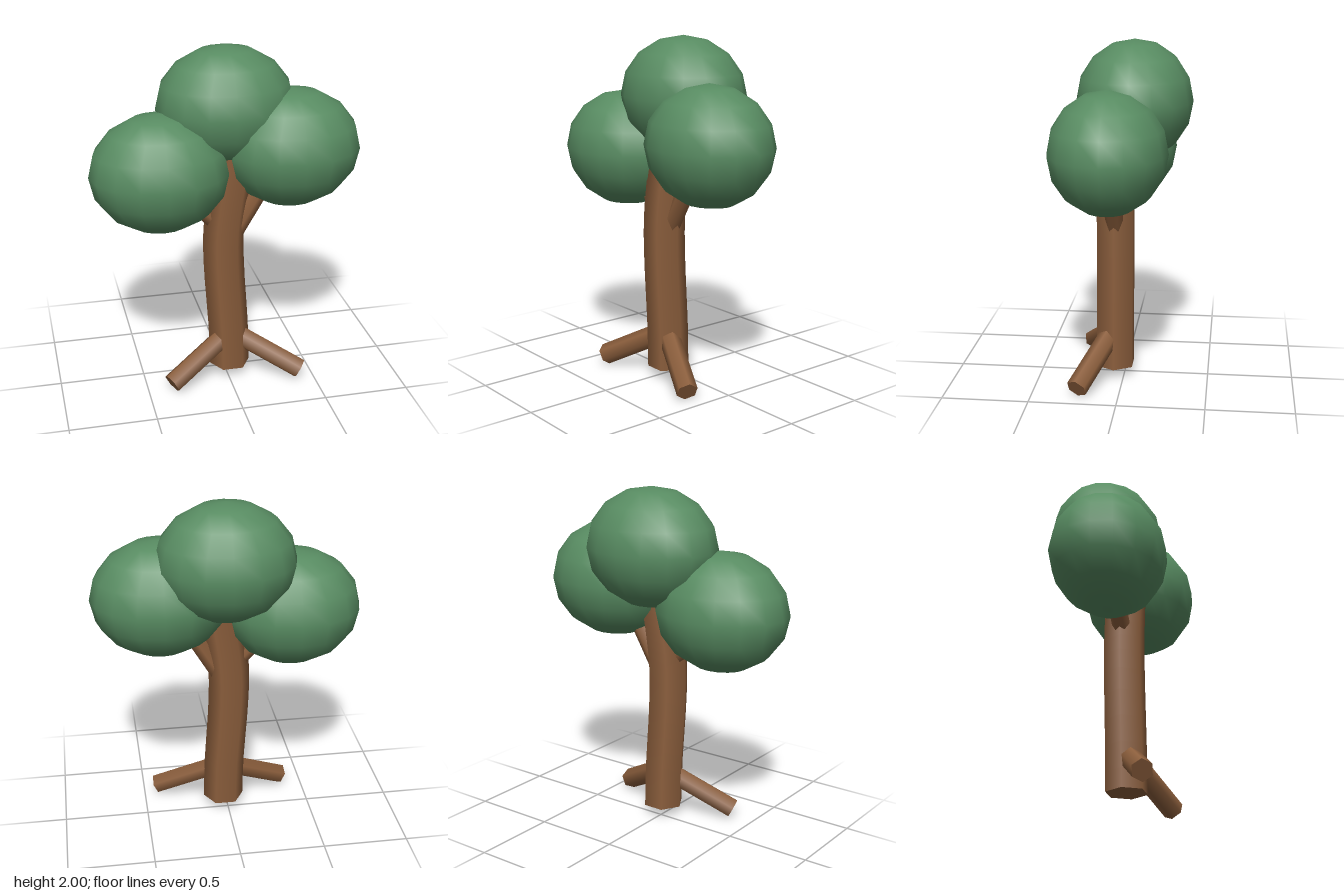
import * as THREE from 'three';

export function createModel() {
  const tree = new THREE.Group();
  tree.name = 'tree';

  const bark = new THREE.MeshStandardMaterial({ color: 0x8b5e3c });
  bark.name = 'bark brown';
  const leaf = new THREE.MeshStandardMaterial({ color: 0x588c62 });
  leaf.name = 'leaf green';

  const add = (name, geometry, material) => {
    const mesh = new THREE.Mesh(geometry, material);
    mesh.name = name;
    tree.add(mesh);
    return mesh;
  };

  // Six-sided trunk, each ring slid sideways along a gentle bend
  const bottom = 0.06, top = 1.48;
  const bend = new THREE.SplineCurve([
    [0.022, 0.06], [0.015, 0.32], [-0.006, 0.62], [-0.015, 0.86], [-0.004, 1.04], [0.03, 1.26], [0.07, 1.48],
  ].map(([x, y]) => new THREE.Vector2(x, y)));
  const rings = 12;
  const path = bend.getPoints(rings);
  const trunk = new THREE.CylinderGeometry(0.121, 0.121, top - bottom, 6, rings);
  trunk.rotateY(Math.PI / 6);
  const pos = trunk.attributes.position;
  for (let i = 0; i < pos.count; i++) {
    const ring = Math.round((pos.getY(i) / (top - bottom) + 0.5) * rings);
    pos.setXYZ(i, pos.getX(i) + path[ring].x, path[ring].y, pos.getZ(i) + 0.055);
  }
  add('trunk', trunk, bark);

  // Straight six-sided limb between two points
  const limb = (name, from, to, radius) => {
    const a = new THREE.Vector3(...from), b = new THREE.Vector3(...to);
    const dir = b.clone().sub(a);
    const mesh = add(name, new THREE.CylinderGeometry(radius, radius, dir.length(), 6), bark);
    mesh.position.copy(a).add(b).multiplyScalar(0.5);
    mesh.quaternion.setFromUnitVectors(new THREE.Vector3(0, 1, 0), dir.normalize());
  };
  limb('rightRoot', [-0.02, 0.25, 0.085], [-0.365, 0.056, 0.235], 0.062);
  limb('leftRoot', [0.07, 0.25, 0.085], [0.415, 0.056, 0.235], 0.062);
  limb('rightBranch', [-0.03, 0.965, 0.055], [-0.34, 1.28, 0.055], 0.053);
  limb('leftBranch', [0.05, 0.92, 0.055], [0.31, 1.36, 0.055], 0.053);

  // Leafy crowns: three equal flattened spheres
  const crowns = {
    rightCrown: [-0.38, 1.323, 0.055],
    leftCrown: [0.38, 1.423, 0.055],
    topCrown: [0.02, 1.658, -0.058],
  };
  for (const [name, at] of Object.entries(crowns)) {
    const ball = new THREE.SphereGeometry(1, 16, 8);
    ball.scale(0.4, 0.343, 0.332);
    add(name, ball, leaf).position.set(...at);
  }

  return tree;
}
